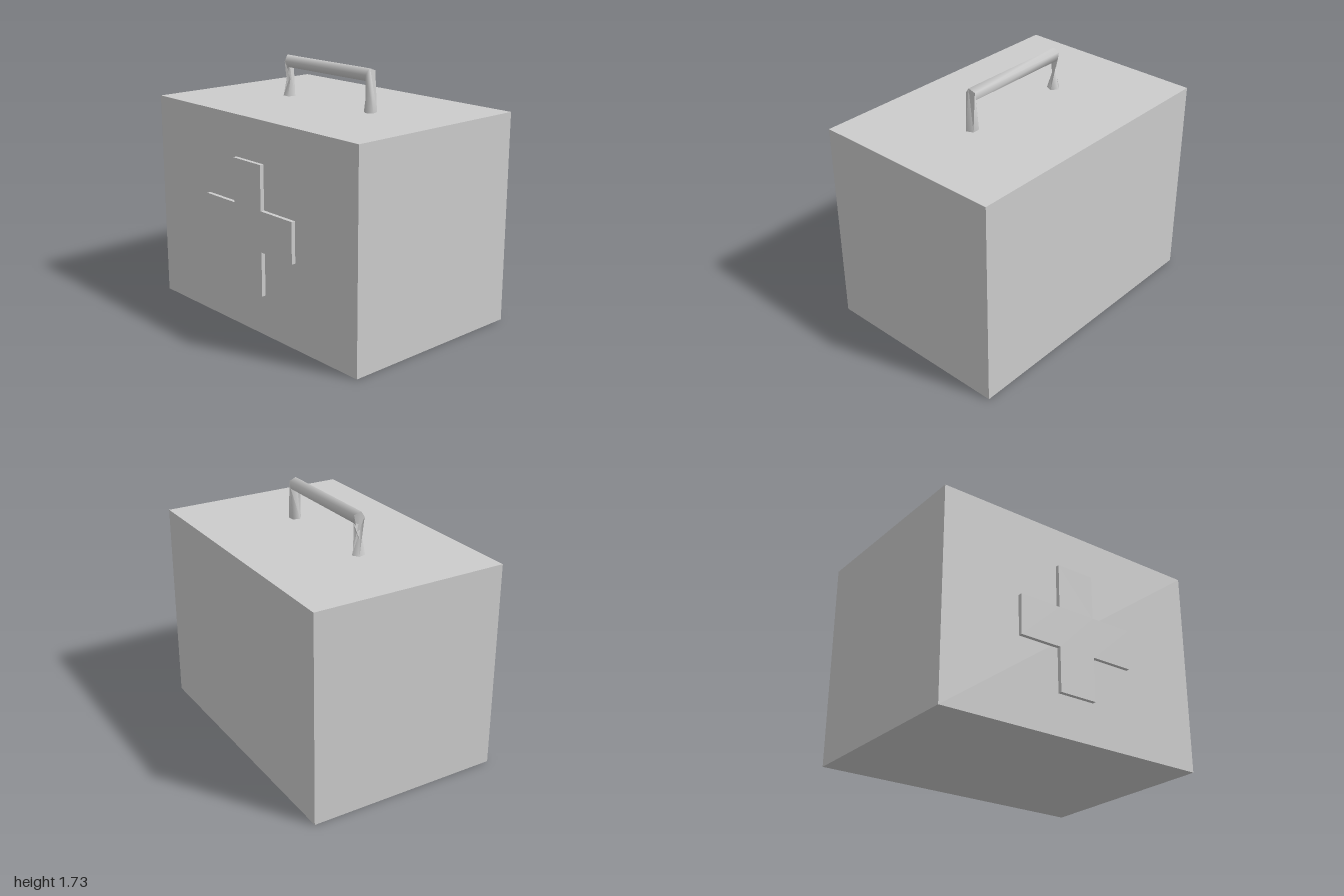
import * as THREE from 'three';
import { toCreasedNormals } from 'three/addons/utils/BufferGeometryUtils.js';

const SIDES = 5, R = 0.045, H = 1.44;

// One five-sided cross-section; place() turns its (outward, z) offsets into a point
function ring(place, twist = 0) {
  return Array.from({ length: SIDES }, (_, i) => {
    const t = 0.035 + twist + (i / SIDES) * Math.PI * 2;
    return place(R * Math.sin(t), R * Math.cos(t) - 0.01);
  });
}

// Skin a list of cross-sections
function loft(rings) {
  const pos = [];
  for (let k = 0; k < rings.length - 1; k++) {
    for (let i = 0; i < SIDES; i++) {
      const j = (i + 1) % SIDES;
      const a = rings[k][i], b = rings[k][j], c = rings[k + 1][j], d = rings[k + 1][i];
      pos.push(...a, ...d, ...c, ...a, ...c, ...b);
    }
  }
  const g = new THREE.BufferGeometry();
  g.setAttribute('position', new THREE.Float32BufferAttribute(pos, 3));
  return toCreasedNormals(g, 1.35);
}

export function createModel() {
  const model = new THREE.Group();
  model.name = 'medicalCase';
  const grey = new THREE.MeshStandardMaterial({ color: 0xcccccc, side: THREE.DoubleSide });
  grey.name = 'grey';
  const add = (name, geometry) => {
    const mesh = new THREE.Mesh(geometry, grey);
    mesh.name = name;
    model.add(mesh);
    return mesh;
  };

  // Case body
  add('caseBody', new THREE.BoxGeometry(2, H, 1.356)).position.set(0, H / 2, -0.014);

  // Raised cross on the front
  const w = 0.138, l = 0.44;
  const cross = new THREE.Shape([
    [-w, -l], [w, -l], [w, -w], [l, -w], [l, w], [w, w],
    [w, l], [-w, l], [-w, w], [-l, w], [-l, -w], [-w, -w],
  ].map(([x, y]) => new THREE.Vector2(x, y)));
  add('frontCross', new THREE.ExtrudeGeometry(cross, { depth: 0.028, bevelEnabled: false }))
    .position.set(0, 0.72, 0.664);

  // Carrying handle: the right leg is twisted half a turn, the left leg is straight
  const foot = (s) => (o, z) => [s * (0.4 + o), H, z];
  const corner = (s) => (o, z) => [s * (0.4 + 0.2 * o), 1.683 + o, z];
  add('handle', loft([
    ring(foot(-1), Math.PI * 1.01),
    ring(corner(-1)),
    ring(corner(1)),
    ring(foot(1)),
  ]));

  return model;
}
